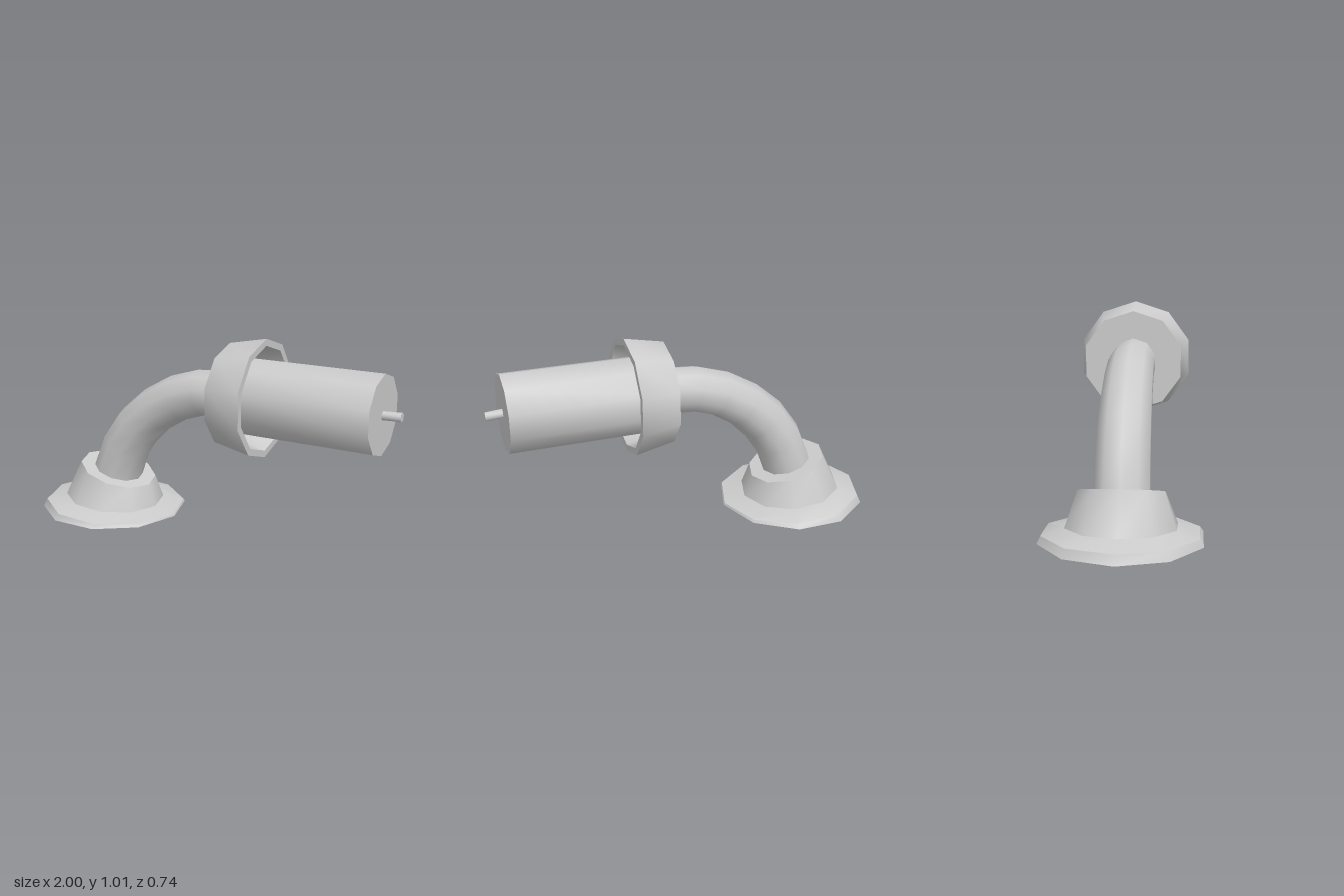
import * as THREE from 'three';
import { toCreasedNormals } from 'three/addons/utils/BufferGeometryUtils.js';

const SIDES = 10;
const AXIS_Y = 0.716; // height of the horizontal barrel axis

// Ring through two opposite points A and B in the xy plane, with radius r along z
const ring = (ax, ay, bx, by, r, z = 0) =>
  ({ c: [(ax + bx) / 2, (ay + by) / 2, z], u: [(ax - bx) / 2, (ay - by) / 2], r });

// Upright ring around the barrel axis
const disc = (x, r, z = 0) => ring(x, AXIS_Y + r, x, AXIS_Y - r, r, z);

// Skin through successive rings, closed by a fan at each end
function loft(name, rings, material) {
  const pos = [];
  const point = ({ c, u, r }, i) => {
    const a = ((i % SIDES) / SIDES) * Math.PI * 2;
    return [c[0] + u[0] * Math.cos(a), c[1] + u[1] * Math.cos(a), c[2] + r * Math.sin(a)];
  };
  const tri = (...pts) => pts.forEach((p) => pos.push(...p));
  const first = rings[0], last = rings[rings.length - 1];
  for (let i = 0; i < SIDES; i++) {
    tri(first.c, point(first, i + 1), point(first, i));
    for (let j = 0; j < rings.length - 1; j++) {
      const a = point(rings[j], i), b = point(rings[j], i + 1);
      const c = point(rings[j + 1], i + 1), d = point(rings[j + 1], i);
      tri(a, b, c);
      tri(a, c, d);
    }
    tri(last.c, point(last, i), point(last, i + 1));
  }
  const geometry = new THREE.BufferGeometry();
  geometry.setAttribute('position', new THREE.Float32BufferAttribute(pos, 3));
  const mesh = new THREE.Mesh(toCreasedNormals(geometry, 0.72), material);
  mesh.name = name;
  return mesh;
}

export function createModel() {
  const group = new THREE.Group();
  group.name = 'pipeFitting';
  const grey = new THREE.MeshStandardMaterial({ color: 0xcccccc });
  const add = (name, rings) => group.add(loft(name, rings, grey));

  // Wide foot with a collar whose top leans towards the barrel
  add('baseFlange', [
    ring(-1, 0, -0.22, 0, 0.39),
    ring(-0.98, 0.045, -0.225, 0.01, 0.373),
    ring(-0.87, 0.075, -0.34, 0.035, 0.265),
    ring(-0.775, 0.27, -0.38, 0.15, 0.206),
  ]);

  // Bent pipe, tapering slightly towards the cup
  add('bentPipe', [
    ring(-0.73, 0.16, -0.473, 0.09, 0.135),
    ring(-0.7, 0.25, -0.45, 0.17, 0.134),
    ring(-0.63, 0.42, -0.405, 0.29, 0.131),
    ring(-0.525, 0.565, -0.335, 0.395, 0.129),
    ring(-0.39, 0.68, -0.245, 0.485, 0.126),
    ring(-0.23, 0.77, -0.14, 0.55, 0.123),
    ring(-0.065, 0.82, -0.02, 0.59, 0.12),
    ring(0.12, 0.834, 0.12, 0.598, 0.118),
  ]);

  // Flared cup, hollow on the barrel side
  add('flaredCup', [disc(0.115, 0.258), disc(0.315, 0.297), disc(0.315, 0.263), disc(0.145, 0.215)]);

  // Barrel rising out of the cup
  add('barrel', [disc(0.14, 0.195), disc(0.915, 0.195)]);

  // Thin, slightly skewed pin at the tip
  add('tipPin', [disc(0.9, 0.022, 0.005), disc(1, 0.022, -0.012)]);

  return group;
}
